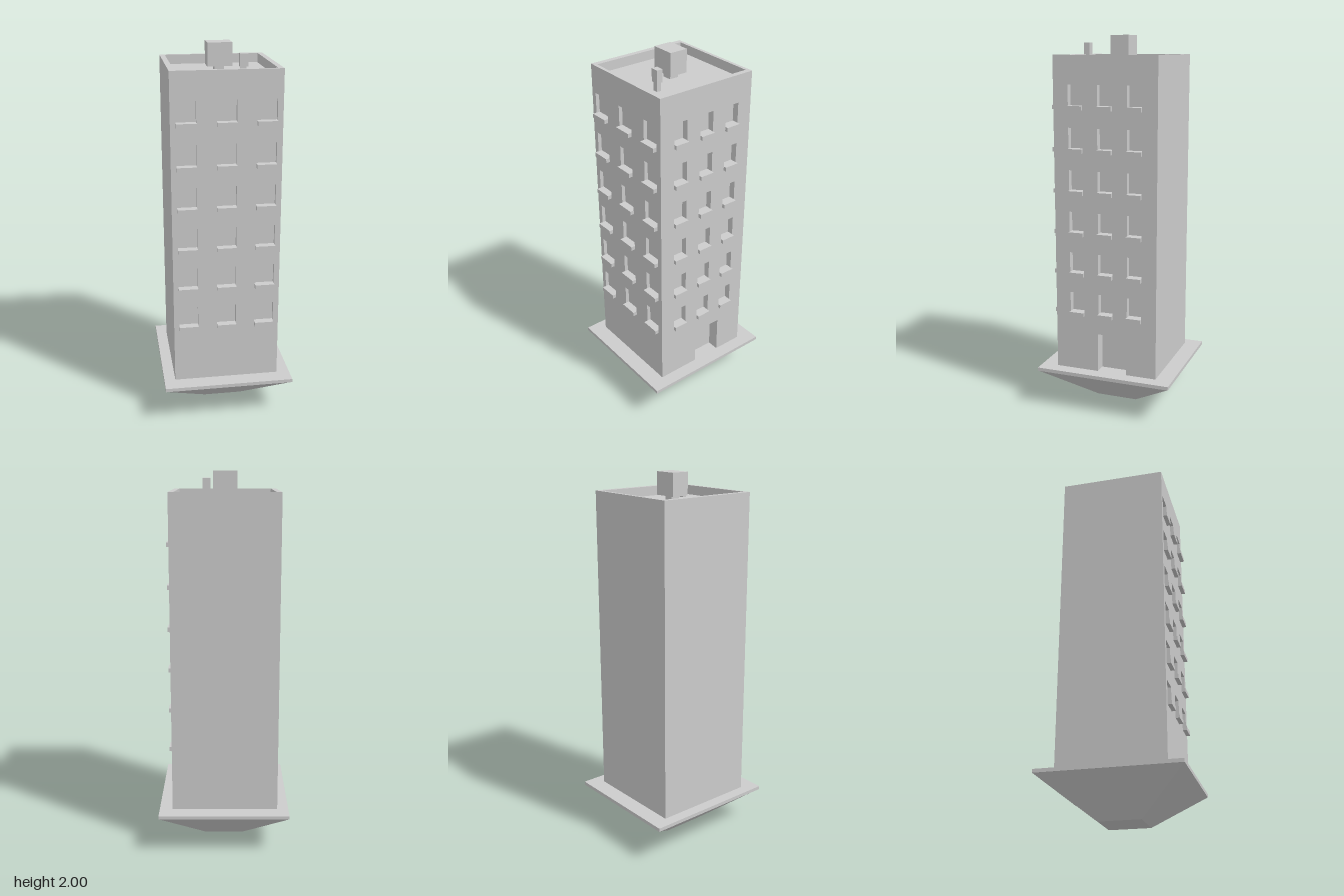
import * as THREE from 'three';

const X0 = -0.288, X1 = 0.278, Z = 0.283;      // tower footprint
const BASE = 0.217, ROOF = 1.85, TOP = 1.9;    // slab top, roof floor, parapet top
const FRONT = 0.02, SIDE = 0.065, SIDE_WIN = 0.035; // recess depths
const WIN_H = 0.13, SILL_H = 0.022;
const ROWS = Array.from({ length: 6 }, (_, i) => 0.52 + i * 0.2206);
const FRONT_COLS = [-0.209, -0.0055, 0.1975];
const SIDE_COLS = [-0.161, 0, 0.161];
const FRONT_W = 0.102, SIDE_W = 0.08;

export function createModel() {
  const model = new THREE.Group();
  model.name = 'apartmentTower';
  const mat = new THREE.MeshStandardMaterial({ color: 0xcccccc, flatShading: true });

  const add = (name, geo, parent = model) => {
    const mesh = new THREE.Mesh(geo, mat);
    mesh.name = name;
    parent.add(mesh);
    return mesh;
  };
  // Box given by its limits on each axis
  const box = (name, x0, x1, y0, y1, z0, z1, parent) =>
    add(name, new THREE.BoxGeometry(x1 - x0, y1 - y0, z1 - z0)
      .translate((x0 + x1) / 2, (y0 + y1) / 2, (z0 + z1) / 2), parent);
  const outline = (Type, x0, x1, y0, y1) => new Type([
    new THREE.Vector2(x0, y0), new THREE.Vector2(x1, y0),
    new THREE.Vector2(x1, y1), new THREE.Vector2(x0, y1)]);
  const extrude = (shape, depth) =>
    new THREE.ExtrudeGeometry(shape, { depth, bevelEnabled: false });
  const cutWindows = (shape, cols, w) => {
    for (const y of ROWS) for (const c of cols)
      shape.holes.push(outline(THREE.Path, c - w / 2, c + w / 2, y, y + WIN_H));
  };

  // Tapered footing: a box whose lower corners are drawn in
  const footing = new THREE.BoxGeometry(0.696, 0.2, 0.746).translate(0, 0.1, 0);
  const p = footing.attributes.position;
  for (let i = 0; i < p.count; i++)
    if (p.getY(i) < 0.1) p.setXYZ(i, Math.sign(p.getX(i)) * 0.105, 0, Math.sign(p.getZ(i)) * 0.112);
  footing.computeVertexNormals();
  add('footing', footing);
  box('groundSlab', -0.348, 0.348, 0.198, BASE, -0.373, 0.373);

  // Solid core; its top is the roof floor and its front backs the windows
  box('core', X0, X1 - SIDE, BASE, ROOF, -Z, Z - FRONT);

  // Front wall with window openings
  const front = outline(THREE.Shape, X0, X1, BASE, ROOF);
  cutWindows(front, FRONT_COLS, FRONT_W);
  add('frontWall', extrude(front, FRONT).translate(0, 0, Z - FRONT));

  // Side wall with window openings and a door notch, drawn with -z across
  const side = new THREE.Shape();
  [[FRONT - Z, BASE], [-0.045, BASE], [-0.045, 0.428], [0.118, 0.428], [0.118, BASE],
    [Z, BASE], [Z, ROOF], [FRONT - Z, ROOF]]
    .forEach(([u, y], i) => (i ? side.lineTo(u, y) : side.moveTo(u, y)));
  cutWindows(side, SIDE_COLS, SIDE_W);
  add('sideWall', extrude(side, SIDE).rotateY(Math.PI / 2).translate(X1 - SIDE, 0, 0));

  // Sills, and panes filling the deeper side openings
  const windows = new THREE.Group();
  windows.name = 'windows';
  model.add(windows);
  for (const y of ROWS) {
    for (const c of FRONT_COLS)
      box('frontSill', c - FRONT_W / 2, c + FRONT_W / 2, y, y + SILL_H, Z - FRONT, 0.305, windows);
    for (const c of SIDE_COLS) {
      const z0 = c - SIDE_W / 2, z1 = c + SIDE_W / 2;
      box('sideSill', X1 - SIDE_WIN, 0.295, y, y + SILL_H, z0, z1, windows);
      box('sidePane', X1 - SIDE, X1 - SIDE_WIN, y, y + WIN_H, z0, z1, windows);
    }
  }

  // Parapet ring around the sunken roof
  const ring = outline(THREE.Shape, X0, X1, -Z, Z);
  ring.holes.push(outline(THREE.Path, -0.26, 0.25, -0.265, 0.265));
  add('parapet', extrude(ring, TOP - ROOF).rotateX(-Math.PI / 2).translate(0, ROOF, 0));

  // Roof housing on a small plinth, and a chimney on a narrower stem
  box('roofHousing', -0.07, 0.058, 1.88, 2, -0.05, 0.05);
  box('housingPlinth', -0.03, 0.02, ROOF, 1.88, -0.025, 0.025);
  box('chimney', 0.075, 0.117, 1.895, 1.96, 0.145, 0.177);
  box('chimneyStem', 0.082, 0.11, ROOF, 1.895, 0.15, 0.172);

  return model;
}
